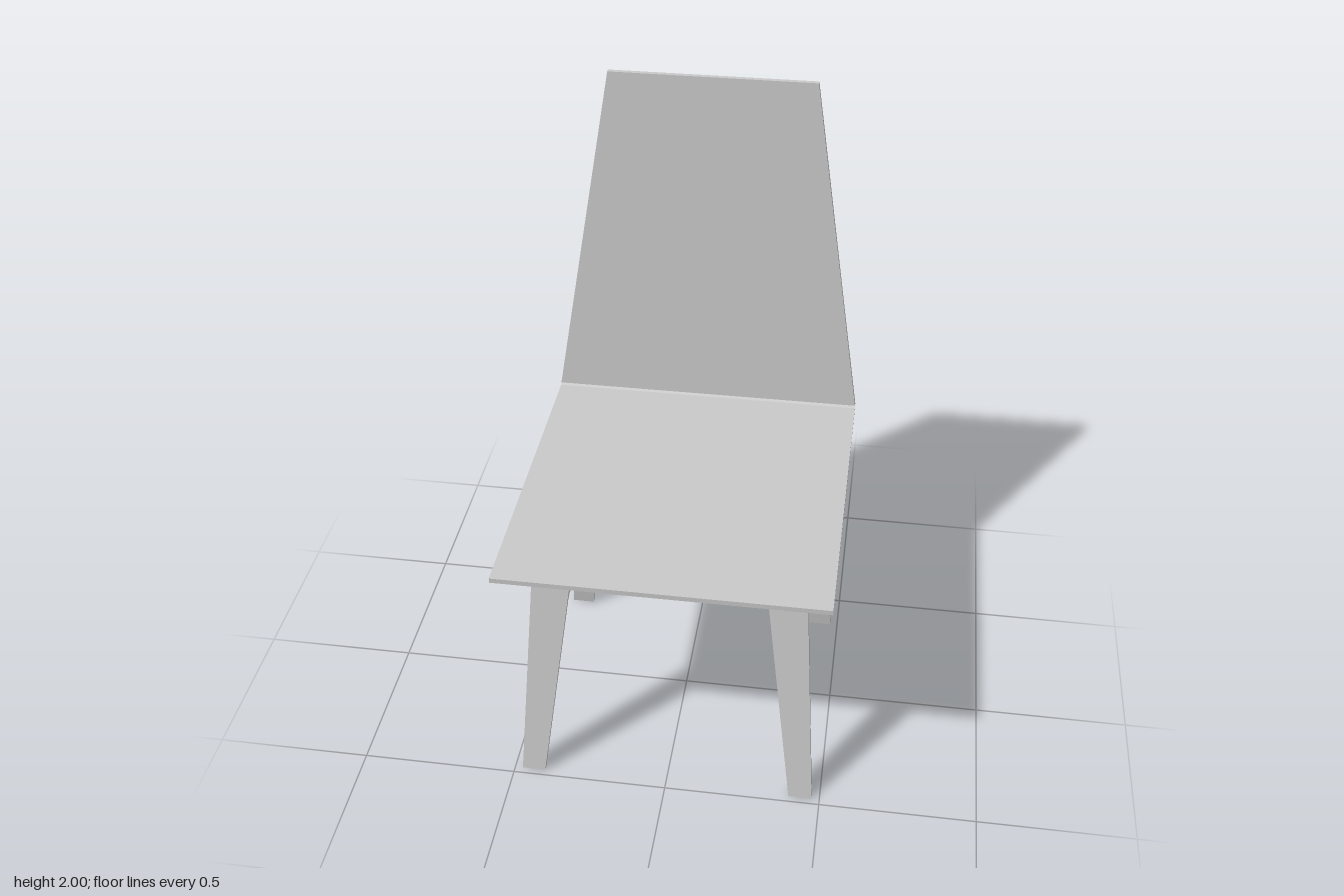
import * as THREE from 'three';

const material = new THREE.MeshStandardMaterial({ color: 0xcccccc, flatShading: true });

// Tapered, slanted board: each end is { y, x: [min, max], z: [min, max] }
function board(name, bottom, top) {
  const geometry = new THREE.BoxGeometry(1, 1, 1);
  const p = geometry.attributes.position;
  for (let i = 0; i < p.count; i++) {
    const end = p.getY(i) > 0 ? top : bottom;
    p.setXYZ(i, end.x[p.getX(i) > 0 ? 1 : 0], end.y, end.z[p.getZ(i) > 0 ? 1 : 0]);
  }
  geometry.computeVertexNormals();
  const mesh = new THREE.Mesh(geometry, material);
  mesh.name = name;
  return mesh;
}

export function createModel() {
  const chair = new THREE.Group();
  chair.name = 'chair';

  // Seat: side profile (z, y) with a bevelled fold at the rear, extruded across x
  const halfWidth = 0.505;
  const profile = new THREE.Shape([
    [0.563, 0.864], [0.563, 0.88], [-0.475, 0.88],
    [-0.48, 0.887], [-0.496, 0.886], [-0.494, 0.875], [-0.483, 0.864],
  ].map(([z, y]) => new THREE.Vector2(z, y)));
  const seatGeometry = new THREE.ExtrudeGeometry(profile, { depth: 2 * halfWidth, bevelEnabled: false });
  seatGeometry.translate(0, 0, -halfWidth).rotateY(-Math.PI / 2);
  const seat = new THREE.Mesh(seatGeometry, material);
  seat.name = 'seat';
  chair.add(seat);

  // Backrest: narrows upward and leans back
  chair.add(board('backrest',
    { y: 0.886, x: [-halfWidth, halfWidth], z: [-0.496, -0.48] },
    { y: 2, x: [-0.325, 0.325], z: [-0.564, -0.549] }));

  // Legs: flat tapered boards splayed outward
  for (const [side, s] of [['Left', 1], ['Right', -1]]) {
    const span = (a, b) => (s > 0 ? [a, b] : [-b, -a]);
    const bottomX = span(0.4, 0.475);
    const topX = span(0.288, 0.416);
    chair.add(board('front' + side + 'Leg',
      { y: 0, x: bottomX, z: [0.463, 0.478] },
      { y: 0.866, x: topX, z: [0.358, 0.373] }));
    chair.add(board('back' + side + 'Leg',
      { y: 0, x: bottomX, z: [-0.38, -0.365] },
      { y: 0.866, x: topX, z: [-0.275, -0.26] }));
  }
  return chair;
}
